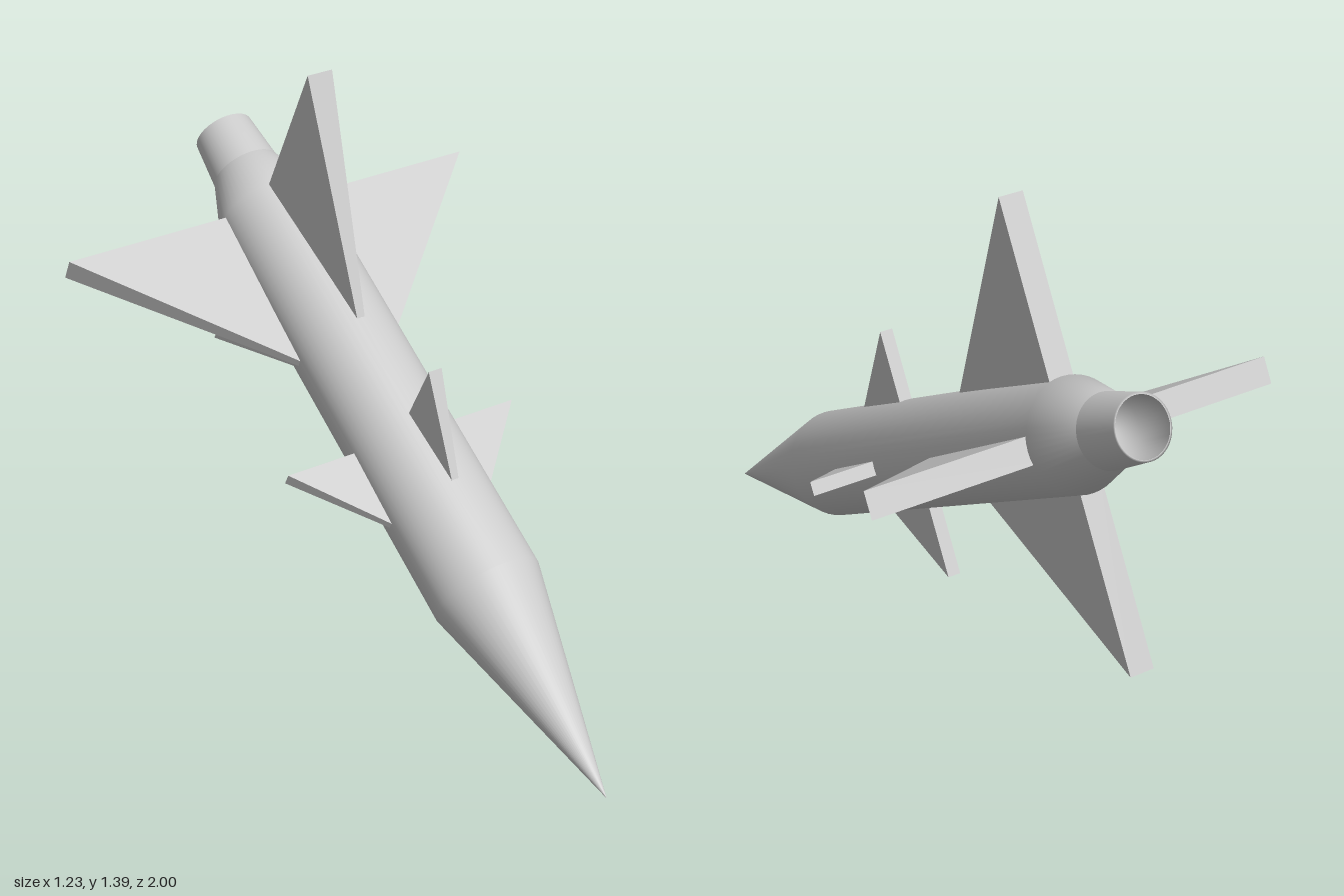
import * as THREE from 'three';

const material = new THREE.MeshStandardMaterial({ color: 0xcccccc, side: THREE.DoubleSide });

function lathe(name, profile) {
  const points = profile.map(([r, y]) => new THREE.Vector2(r, y));
  const mesh = new THREE.Mesh(new THREE.LatheGeometry(points, 48), material);
  mesh.name = name;
  return mesh;
}

// Triangular wedge fin reaching out along +x: thin at the front root, thick at the trailing edge.
function finGeometry(front, back, root, tip, thin, thick) {
  const shape = new THREE.Shape([
    new THREE.Vector2(root, -front),
    new THREE.Vector2(root, -back),
    new THREE.Vector2(tip, -back),
  ]);
  const geometry = new THREE.ExtrudeGeometry(shape, { depth: 1, bevelEnabled: false });
  geometry.translate(0, 0, -0.5);
  const p = geometry.attributes.position;
  for (let i = 0; i < p.count; i++) {
    const atFront = Math.abs(p.getY(i) + front) < 1e-4;
    p.setZ(i, p.getZ(i) * (atFront ? thin : thick));
  }
  geometry.computeVertexNormals();
  return geometry;
}

function finRing(name, geometry) {
  const ring = new THREE.Group();
  ring.name = name + 's';
  for (let i = 0; i < 4; i++) {
    const fin = new THREE.Mesh(geometry, material);
    fin.name = name;
    fin.rotation.y = (i * Math.PI) / 2;
    ring.add(fin);
  }
  return ring;
}

export function createModel() {
  // Built along y with the nose tip at the origin and the tail at -y.
  const missile = new THREE.Group();
  missile.name = 'missile';

  // Pointed nose, straight tube and tapered tail
  missile.add(lathe('body', [[0.1, -2.09], [0.154, -1.945], [0.156, -0.64], [0, 0]]));

  // Hollow exhaust nozzle
  missile.add(lathe('nozzle', [[0, -2.09], [0.09, -2.09], [0.081, -2.235]]));
  missile.add(lathe('nozzleShell', [[0.081, -2.235], [0.087, -2.235], [0.1, -2.09]]));

  // Four large tail fins and four small forward fins
  missile.add(finRing('tailFin', finGeometry(1.397, 1.94, 0.1, 0.633, 0.018, 0.075)));
  missile.add(finRing('forwardFin', finGeometry(0.848, 1.135, 0.1, 0.358, 0.016, 0.04)));

  // Pitch, yaw and roll the missile into a nose-down dive
  const forward = new THREE.Vector3(-0.525, -0.942, 1.955).normalize();
  const side = new THREE.Vector3(0.972, -0.048, 0.234);
  side.addScaledVector(forward, -side.dot(forward)).normalize();
  const under = new THREE.Vector3().crossVectors(side, forward);
  missile.quaternion.setFromRotationMatrix(new THREE.Matrix4().makeBasis(side, forward, under));
  missile.position.set(-0.46, 0, 1);

  const model = new THREE.Group();
  model.add(missile);
  return model;
}
